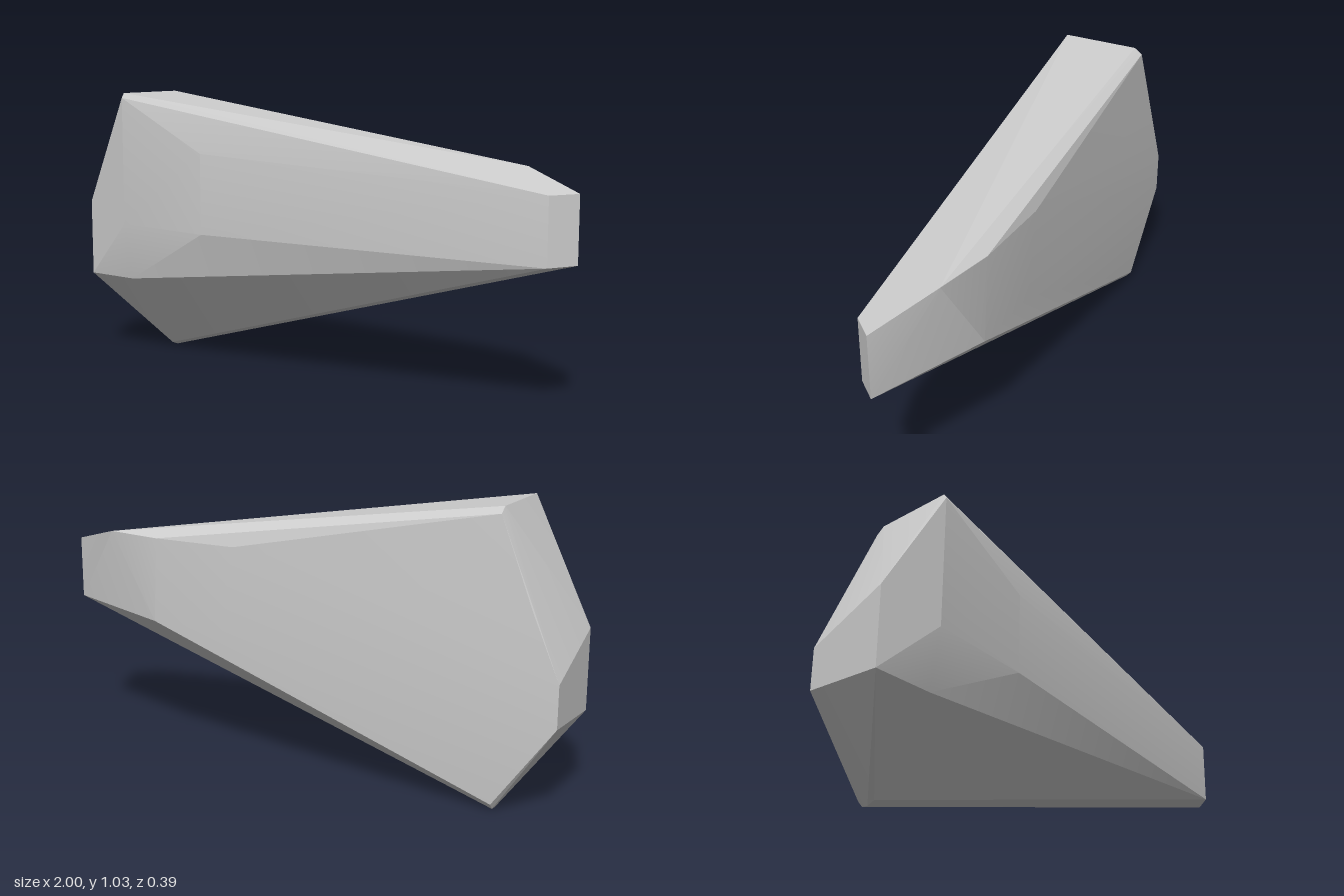
import * as THREE from 'three';
import { ConvexGeometry } from 'three/addons/geometries/ConvexGeometry.js';
import { toCreasedNormals } from 'three/addons/utils/BufferGeometryUtils.js';

const stone = new THREE.MeshStandardMaterial({ color: 0xcccccc });
stone.name = 'pale stone grey';

// Corners of the wedge-shaped stone, grouped by region: [x, y, z]
const corners = {
  bluntEnd: [
    [-1, 0.6, 0.15], [-1, 0.31, 0.15], [-1, 0.48, -0.15], [-1, 0.33, -0.15],
    [-0.9, 0.71, -0.148],
  ],
  topRidge: [
    [-0.78, 1.033, 0.18], [-0.78, 1.015, 0.192],
    [-0.78, 1.033, -0.11], [-0.78, 1.012, -0.14],
    [0.76, 0.815, -0.16],
  ],
  frontBulge: [
    [-0.78, 0.53, 0.192], [-0.78, 0.31, 0.155],
    [-0.4, 0.82, 0.181], [-0.4, 0.52, 0.181],
  ],
  backBulge: [
    [0.2, 0.815, -0.194], [0.53, 0.815, -0.195],
    [0.25, 0.5, -0.193], [0.55, 0.5, -0.192],
  ],
  bottomKeel: [
    [-0.78, 0.012, -0.07], [-0.78, 0, -0.1], [-0.78, 0.003, -0.125], [-0.78, 0.025, -0.144],
  ],
  narrowTip: [
    [0.93, 0.745, 0.03], [0.93, 0.51, 0.03], [1, 0.748, -0.05], [1, 0.515, -0.05],
  ],
};

export function createModel() {
  const group = new THREE.Group();
  group.name = 'stone';
  const points = Object.values(corners).flat().map((p) => new THREE.Vector3(...p));

  // Soft shading only across the shallowest bends, clear facets elsewhere
  const geometry = toCreasedNormals(new ConvexGeometry(points), 0.2);
  const body = new THREE.Mesh(geometry, stone);
  body.name = 'stoneBody';
  group.add(body);
  return group;
}
